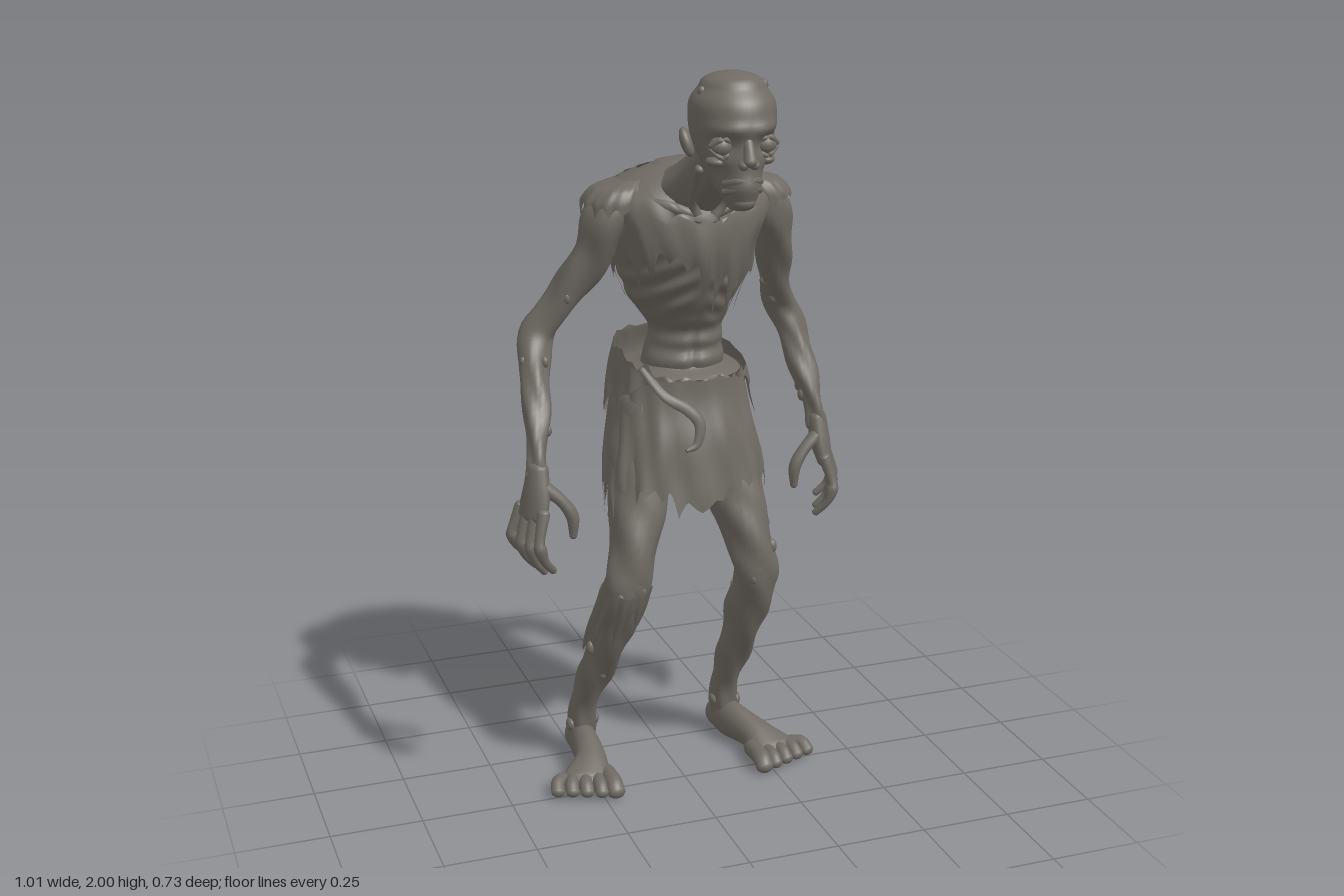
import * as THREE from 'three';

const stone = new THREE.MeshStandardMaterial({ color: 0x6f6a63, side: THREE.DoubleSide });
stone.name = 'greyBrown';

let seed = 7;
const rnd = () => (seed = (seed * 16807) % 2147483647) / 2147483647;
const V = (x, y, z) => new THREE.Vector3(x, y, z);
const bell = (v, c, w) => Math.exp(-(((v - c) / w) ** 2));

// Smooth sampler through rows of [x, y, z, halfWidth, halfDepth]
function sampler(rows) {
  const a = new THREE.CatmullRomCurve3(rows.map(r => V(r[0], r[1], r[2])), false, 'catmullrom');
  const b = new THREE.CatmullRomCurve3(rows.map(r => V(r[3], r[4], 0)), false, 'catmullrom');
  return u => ({ p: a.getPoint(u), r: b.getPoint(u), t: a.getTangent(u) });
}

function grid(rings, n, name) {
  const pos = [], idx = [];
  rings.forEach(r => r.forEach(p => pos.push(p.x, p.y, p.z)));
  for (let i = 0; i < rings.length - 1; i++) for (let j = 0; j < n; j++) {
    const k = (j + 1) % n, a = i * n + j, b = i * n + k, c = a + n, d = b + n;
    idx.push(a, b, d, a, d, c);
  }
  const g = new THREE.BufferGeometry();
  g.setAttribute('position', new THREE.Float32BufferAttribute(pos, 3));
  g.setIndex(idx);
  g.computeVertexNormals();
  const m = new THREE.Mesh(g, stone);
  m.name = name;
  return m;
}

// Closed body with elliptical sections and rounded ends; bump() pushes the surface outward
function loft(name, rows, { n = 20, steps = 6, flat = false, cap = 0.8, bump = () => 0 } = {}) {
  const at = sampler(rows), N = (rows.length - 1) * steps, rings = [];
  const ring = (u, off, k) => {
    const { p, r, t } = at(u);
    if (flat) t.set(0, 1, 0);
    const side = V(1, 0, 0).addScaledVector(t, -t.x).normalize(), other = t.clone().cross(side);
    p.addScaledVector(t, off * Math.min(r.x, r.y) * cap);
    rings.push(Array.from({ length: n }, (_, j) => {
      const th = j / n * Math.PI * 2, c = Math.cos(th), s = Math.sin(th);
      const q = p.clone().addScaledVector(side, c * r.x * k).addScaledVector(other, s * r.y * k);
      const d = bump(q, c, s) * k;
      return q.addScaledVector(side, c * d).addScaledVector(other, s * d);
    }));
  };
  for (let i = 0; i < 5; i++) { const a = i / 5 * Math.PI / 2; ring(0, -Math.cos(a), Math.sin(a)); }
  for (let i = 0; i <= N; i++) ring(i / N, 0, 1);
  for (let i = 4; i >= 0; i--) { const a = i / 5 * Math.PI / 2; ring(1, Math.cos(a), Math.sin(a)); }
  return grid(rings, n, name);
}

// Random ragged teeth round a hem
function teeth(count, amp) {
  const h = Array.from({ length: count }, () => amp * (0.15 + 0.85 * rnd() ** 2));
  return th => {
    const v = ((th / (Math.PI * 2) + 1) % 1) * count, f = v % 1;
    return h[Math.floor(v)] * (1 - Math.abs(2 * f - 1)) ** 1.4;
  };
}

// Open shell of cloth between top(angle) and hem(angle); rows run downward, front is angle PI/2.
// A power below 1 makes the section squarer.
function cloth(name, rows, top, hem, { offset = 0, fold = 0.004, n = 160, power = 1 } = {}) {
  const at = sampler(rows), M = 16, rings = [];
  const round = v => Math.sign(v) * Math.abs(v) ** power;
  for (let i = 0; i <= M; i++) rings.push(Array.from({ length: n }, (_, j) => {
    const th = j / n * Math.PI * 2, y = THREE.MathUtils.lerp(top(th), hem(th), i / M);
    let k = 0;
    while (k < rows.length - 2 && rows[k + 1][1] > y) k++;
    const f = THREE.MathUtils.clamp((rows[k][1] - y) / (rows[k][1] - rows[k + 1][1]), 0, 1);
    const { p, r } = at((k + f) / (rows.length - 1));
    const d = offset + fold * (Math.sin(th * 9 + y * 8) + 0.6 * Math.sin(th * 17 - y * 21)) * (0.3 + i / M);
    return V(p.x + (r.x + d) * round(Math.cos(th)), y, p.z + (r.y + d) * round(Math.sin(th)));
  }));
  return grid(rings, n, name);
}

function ball(name, x, y, z, a, b = a, c = a) {
  const m = new THREE.Mesh(new THREE.SphereGeometry(1, 16, 12), stone);
  m.position.set(x, y, z);
  m.scale.set(a, b, c);
  m.name = name;
  return m;
}

const cord = (name, pts, r) => loft(name, pts.map(p => [...p, r, r]), { n: 10, steps: 5 });

export function createModel() {
  const model = new THREE.Group();
  model.name = 'raggedUndead';
  const add = (...m) => model.add(...m);

  // Torso with ribs, belly muscles, spine and shoulder blades
  const trunk = [
    [.04, 1.06, -.16, .13, .11], [.045, 1.2, -.145, .11, .105], [.052, 1.28, -.145, .1, .106], [.035, 1.36, -.13, .138, .14],
    [.03, 1.44, -.115, .168, .166], [.025, 1.52, -.1, .185, .18], [.03, 1.6, -.085, .212, .165],
    [.03, 1.655, -.08, .21, .14], [.03, 1.7, -.085, .15, .105], [.03, 1.73, -.09, .08, .06]];
  add(loft('torso', trunk, {
    n: 72, steps: 9, flat: true, cap: .2, bump: (q, c, s) => {
      const front = Math.max(0, -s), back = Math.max(0, s), x = q.x - .04;
      const ribs = .008 * (.4 + .6 * front) * Math.sin(q.y * 100 + Math.abs(c) * 9) * bell(q.y, 1.42, .09) * (1 - bell(x, 0, .03));
      const abs = front * bell(q.y, 1.22, .1) * (.006 * Math.cos(q.y * 110) - .01 * bell(x, 0, .012));
      const spine = back * (.006 * Math.sin(q.y * 120) * bell(x, 0, .02) - .01 * bell(Math.abs(x), .045, .03));
      return ribs + abs + spine + back * .014 * bell(Math.abs(x), .11, .04) * bell(q.y, 1.55, .08);
    }
  }));
  add(loft('neck', [[.03, 1.63, -.09, .14, .085], [.03, 1.672, .005, .105, .074], [.033, 1.728, .095, .073, .066], [.04, 1.79, .18, .066, .06]],
    { n: 32, bump: (q, c) => .004 * Math.sin(c * 9) }));
  for (const s of [-1, 1]) {
    add(cord('neckTendon', [[.03 + s * .02, 1.61, .078], [.035 + s * .045, 1.66, .09], [.04 + s * .062, 1.755, .17]], .013));
    add(cord('collarbone', [[.03 + s * .025, 1.62, .075], [.03 + s * .1, 1.645, .06], [.03 + s * .19, 1.655, -.02]], .014));
  }

  // Head
  add(loft('head', [
    [.04, 1.685, .288, .034, .04], [.04, 1.72, .27, .052, .068], [.04, 1.755, .252, .066, .086], [.04, 1.795, .237, .083, .105],
    [.04, 1.835, .225, .097, .118], [.042, 1.885, .222, .105, .125], [.042, 1.93, .222, .103, .116], [.042, 1.966, .222, .08, .086]], {
    n: 48, steps: 6, flat: true, cap: .42, bump: (q, c, s) => {
      const f = Math.max(0, -s), x = Math.abs(q.x - .04);
      return f * (.013 * bell(q.y, 1.872, .016) * bell(x, .045, .045) - .02 * bell(x, .06, .03) * bell(q.y, 1.835, .025)
        - .012 * bell(x, .075, .03) * bell(q.y, 1.765, .025) + .008 * bell(q.y, 1.738, .025) * bell(x, 0, .04));
    }
  }));
  for (const s of [-1, 1]) {
    const x = .04 + s * .057;
    add(ball('eye', x, 1.832, .302, .03, .025, .026));
    add(cord('upperLid', [[x - .028, 1.835, .308], [x, 1.853, .324], [x + .028, 1.835, .308]], .007));
    add(cord('eyeBag', [[x - .028, 1.826, .306], [x, 1.806, .32], [x + .028, 1.826, .306]], .006));
    add(ball('cheekbone', .04 + s * .062, 1.793, .283, .026, .014, .03));
    add(ball('nostril', .04 + s * .014, 1.79, .344, .013, .012, .015));
    const ear = ball('ear', .04 + s * .103, 1.828, .19, .016, .038, .026);
    ear.rotation.set(-.15, s * .5, -s * .25);
    add(ear);
  }
  add(loft('nose', [[.04, 1.86, .328, .012, .012], [.04, 1.825, .343, .014, .014], [.04, 1.798, .352, .018, .016]], { n: 12 }));
  for (const [y, z] of [[1.748, .336], [1.727, .333]])
    add(cord('lip', [[-.005, y - .006, z - .035], [.02, y + .002, z - .006], [.06, y + .002, z - .006], [.085, y - .006, z - .035]], .01));
  add(ball('chin', .04, 1.695, .31, .03, .02, .024));
  add(ball('headWart', .13, 1.957, .2, .014, .018, .014), ball('headWart', -.04, 1.955, .235, .011, .013, .011));

  // Arms, from shoulder to wrist
  const arms = {
    right: [[-.155, 1.645, -.055, .05, .065], [-.195, 1.59, -.06, .06, .07], [-.23, 1.5, -.08, .05, .058], [-.29, 1.4, -.11, .042, .047],
      [-.36, 1.3, -.13, .042, .044], [-.385, 1.22, -.09, .042, .044], [-.398, 1.12, -.02, .034, .038], [-.42, 1.02, .05, .025, .03], [-.425, .97, .07, .026, .032]],
    left: [[.215, 1.645, -.055, .05, .065], [.255, 1.59, -.065, .06, .07], [.285, 1.5, -.1, .05, .058], [.315, 1.4, -.16, .042, .047],
      [.355, 1.3, -.212, .042, .044], [.385, 1.22, -.2, .042, .044], [.403, 1.12, -.15, .034, .038], [.42, 1.02, -.11, .025, .03], [.425, .97, -.1, .026, .032]]
  };
  const legs = {
    right: [[-.06, 1.05, -.14, .095, .11], [-.1, .88, -.08, .084, .09], [-.12, .78, -.045, .073, .082], [-.155, .65, -.002, .06, .065],
      [-.17, .58, -.01, .058, .065], [-.185, .46, -.075, .056, .068], [-.203, .34, -.13, .049, .057], [-.228, .2, -.2, .037, .042], [-.234, .08, -.225, .038, .045]],
    left: [[.13, 1.05, -.14, .095, .11], [.158, .88, -.08, .084, .09], [.172, .78, -.045, .073, .082], [.2, .65, -.002, .06, .065],
      [.21, .58, -.01, .058, .065], [.211, .46, -.075, .055, .068], [.205, .34, -.13, .049, .057], [.198, .2, -.2, .037, .042], [.2, .08, -.225, .038, .045]]
  };
  const lumpy = (q, c, s) => .0035 * Math.sin(q.y * 38 + c * 4) + .003 * Math.sin(q.y * 21 + s * 5);
  for (const side of ['right', 'left']) {
    const s = side === 'left' ? 1 : -1, arm = arms[side], leg = legs[side];
    add(loft(side + 'Arm', arm, { n: 24, bump: lumpy }), loft(side + 'Leg', leg, { n: 28, bump: lumpy }));
    const e = arm[4];
    add(ball(side + 'Elbow', e[0], e[1], e[2] - .018, .032, .04, .032));
    add(ball(side + 'Kneecap', leg[3][0], .62, leg[3][2] + .032, .038, .055, .03));

    // Hand turned partly palm-back, with curled fingers and thumb
    const hand = new THREE.Group(), w = arm[8];
    hand.name = side + 'Hand';
    hand.position.set(w[0], w[1], w[2]);
    hand.rotation.y = -s * .4;
    hand.add(loft('palm', [[0, .02, 0, .026, .032], [s * .01, -.045, .004, .028, .046], [s * .024, -.1, .004, .022, .054]], { n: 18 }));
    for (let i = 0; i < 4; i++) {
      const z = .05 - i * .031, l = [.92, 1, .95, .8][i];
      hand.add(loft('finger', [[s * .024, -.085, z, .017, .017], [s * .046, -.09 - .065 * l, z * 1.2, .013, .013], [s * .046, -.09 - .09 * l, z * 1.25, .017, .017],
        [s * .032, -.09 - .13 * l, z * 1.25, .012, .012], [s * .002, -.09 - .165 * l, z * 1.15, .01, .01]], { n: 10, steps: 4 }));
    }
    hand.add(loft('thumb', [[0, -.025, .025, .02, .02], [-s * .034, -.06, .05, .016, .016], [-s * .058, -.105, .066, .017, .017], [-s * .06, -.16, .066, .01, .01]], { n: 10, steps: 4 }));
    add(hand);

    // Bare foot with splayed toes
    const foot = new THREE.Group(), a = leg[8][0];
    foot.name = side + 'Foot';
    foot.add(loft('sole', [[a, .046, -.272, .036, .042], [a + s * .006, .062, -.19, .038, .058], [s * .246, .05, -.1, .045, .046], [s * .276, .034, -.03, .066, .03], [s * .284, .028, -.01, .066, .024]], { n: 24 }));
    for (let i = 0; i < 5; i++) {
      const x = .22 + i * .03, z = .078 - i * .015 - (i === 0 ? .008 : 0), r = i === 0 ? .025 : .019;
      foot.add(loft('toe', [[s * x, .034, -.04, r, r], [s * (x + .006 * i), .036, z - .04, r, r], [s * (x + .008 * i), .022, z - .012, r, r * .85]], { n: 12, steps: 4 }));
    }
    foot.add(ball('ankleBone', a + s * .034, .11, -.215, .014, .02, .02), ball('ankleBone', a - s * .034, .12, -.215, .014, .02, .02));
    add(foot);

    // Warts and thorny lumps on the limbs
    for (const [rows, from, span, count] of [[leg, .25, .65, 14], [arm, .35, .5, 5]]) {
      const at = sampler(rows);
      for (let i = 0; i < count; i++) {
        const { p, r } = at(from + span * rnd()), q = rnd() * Math.PI * 2, k = .008 + .006 * rnd();
        add(ball(side + 'Wart', p.x + r.x * .92 * Math.cos(q), p.y, p.z + r.y * .92 * Math.sin(q), k, k * 1.5, k));
      }
    }

    // Torn cap sleeve
    const cx = s < 0 ? -.13 : .19, rag = teeth(14, .07);
    add(cloth(side + 'Sleeve', [[cx, 1.7, -.065, .03, .05], [cx + s * .025, 1.68, -.065, .068, .08], [cx + s * .042, 1.645, -.065, .08, .092], [cx + s * .055, 1.54, -.07, .072, .085]],
      () => 1.7, th => 1.635 + s * Math.cos(th) * .01 - rag(th), { fold: .002, n: 96 }));
  }

  // Torn shirt, longer on the left of the chest
  const shell = trunk.slice(2).reverse(), shirtRag = teeth(26, .14);
  add(cloth('shirt', shell, th => 1.717 - .12 * Math.max(0, Math.sin(th)) ** 4,
    th => 1.46 + Math.max(0, Math.sin(th)) * (.03 - .09 * Math.cos(th)) - shirtRag(th), { offset: .015, n: 208 }));
  const capeRag = teeth(20, .06);
  add(cloth('backLayer', shell, th => 1.705 - .1 * Math.max(0, Math.sin(th)) ** 4,
    th => 1.59 + .04 * Math.sin(th) - capeRag(th), { offset: .022, fold: .003 }));

  // Ragged skirt, with a second layer folded over behind
  const skirt = [[.038, 1.23, -.17, .153, .158], [.04, 1.17, -.175, .166, .172], [.04, 1.1, -.165, .18, .168], [.037, 1, -.135, .198, .165],
    [.033, .9, -.105, .218, .148], [.03, .8, -.085, .226, .14], [.03, .7, -.075, .228, .13]];
  const hem = teeth(30, .11), top = teeth(17, .03), foldHem = teeth(18, .12);
  const waist = th => 1.19 - .035 * Math.sin(th) - .012 * Math.cos(th) + top(th);
  add(cloth('skirt', skirt, waist, th => .865 + .015 * Math.sin(th) - hem(th) - .05 * bell(th, Math.PI / 2, .25), { n: 240, power: .8 }));
  add(cloth('skirtFold', skirt, th => waist(th) + .005, th => 1.1 + .075 * Math.sin(th) - foldHem(th) * (1 - .7 * Math.max(0, Math.sin(th))), { offset: .012, n: 180, power: .8 }));
  add(cloth('waistLining', [[.04, 1.19, -.15, .1, .1], [.038, 1.16, -.17, .165, .165]], () => 1.19, () => 1.16, { fold: 0, n: 48, power: .8 }));
  add(loft('beltTail', [[-.1, 1.19, -.05, .012, .008], [-.06, 1.13, .008, .014, .008], [.0, 1.09, .026, .016, .009], [.03, 1.05, .036, .016, .009], [.02, 1, .044, .012, .008], [-.01, .985, .047, .006, .006]], { n: 10 }));

  // Torn trouser remnant on the right shin
  const legRag = teeth(9, .12), wrapTop = teeth(7, .04);
  add(cloth('shinRag', legs.right.slice(3, 8), th => .59 + wrapTop(th), th => .46 + .05 * Math.sin(th) - legRag(th), { offset: .01, fold: .003, n: 96 }));
  return model;
}
